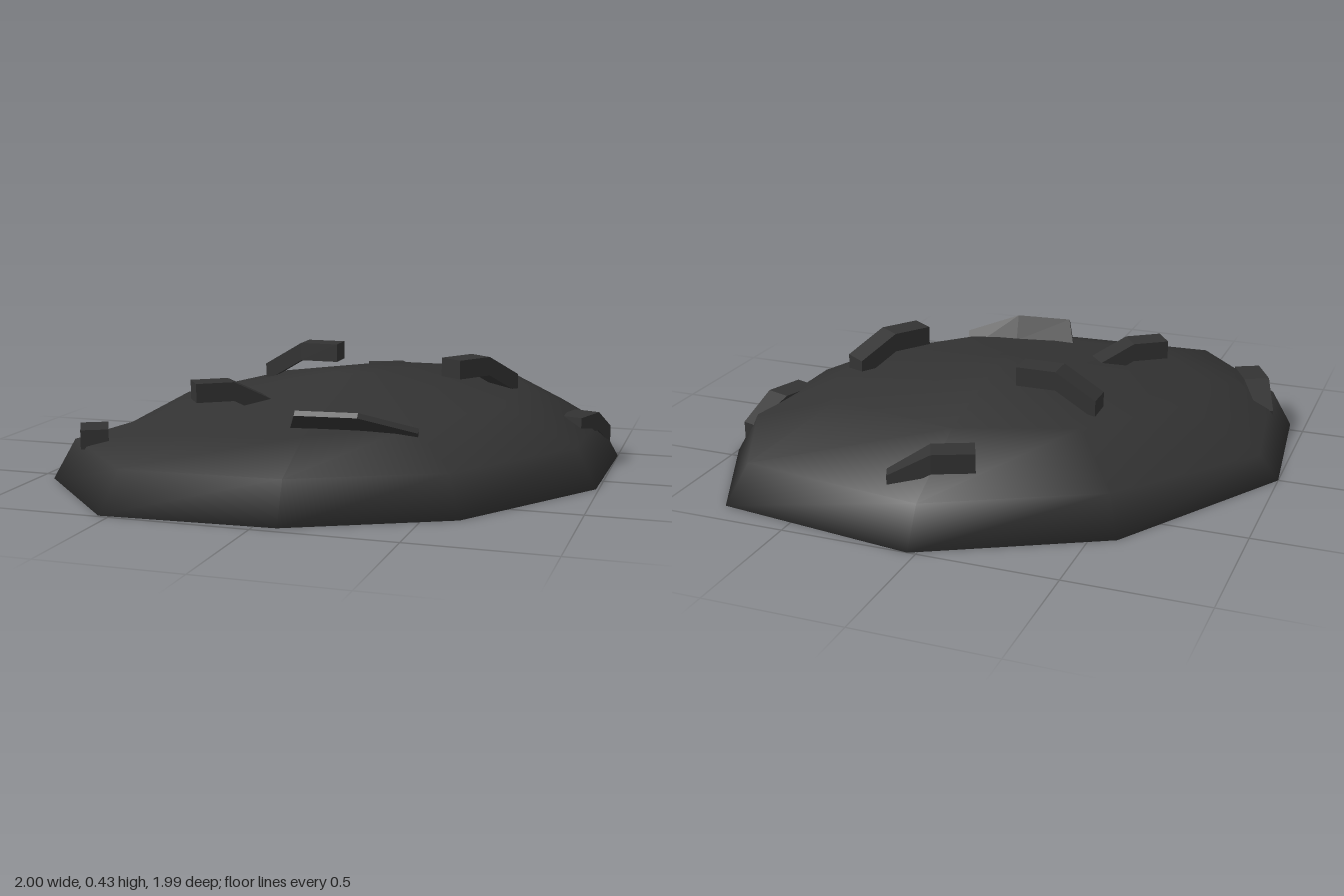
import * as THREE from 'three';

const stone = new THREE.MeshStandardMaterial({ color: 0x333333 });
stone.name = 'darkStone';

// Ground outline [x, z], counter-clockwise seen from above
const outline = [
  [0.03, -1], [-0.59, -0.67], [-1, 0], [-0.94, 0.56], [-0.54, 0.99],
  [0.08, 0.96], [0.62, 0.69], [0.99, 0.13], [1, -0.45], [0.78, -0.9],
];

// Low smooth mound: shrinking rings of the outline, a peak and a flat underside
function makeMound() {
  const n = outline.length;
  const rings = [
    { scale: 1, y: () => 0 },
    { scale: 0.925, y: (x, z) => (x < -0.9 ? 0.09 : 0.145) },
    { scale: 0.64, y: (x, z) => 0.265 + 0.03 * x - 0.06 * z },
    { scale: 0.09, y: () => 0.355, dx: 0.05, dz: -0.07 },
  ];
  const pos = [], idx = [];
  for (const { scale, y, dx = 0, dz = 0 } of rings) {
    for (const [ox, oz] of outline) {
      const x = ox * scale + dx, z = oz * scale + dz;
      pos.push(x, y(x, z), z);
    }
  }
  pos.push(0.05, 0.36, -0.07);
  const peak = rings.length * n;
  for (let r = 0; r < rings.length; r++) {
    for (let i = 0; i < n; i++) {
      const a = r * n + i, b = r * n + (i + 1) % n;
      if (r === rings.length - 1) idx.push(a, b, peak);
      else idx.push(a, b, b + n, a, b + n, a + n);
    }
  }
  // Underside, cut in a zigzag between the two halves of the rim
  let lo = 0, hi = n - 1;
  while (hi - lo > 1) {
    idx.push(lo, hi, lo + 1);
    lo++;
    if (hi - lo > 1) idx.push(lo, hi, hi - 1);
    hi--;
  }
  const geo = new THREE.BufferGeometry();
  geo.setAttribute('position', new THREE.Float32BufferAttribute(pos, 3));
  geo.setIndex(idx);
  geo.computeVertexNormals();
  // Rim normals lean outward and slightly down, rounding the lower edge
  outline.forEach(([x, z], i) => {
    const v = new THREE.Vector3(x, 0, z).setLength(0.9).setY(-0.43).normalize();
    geo.attributes.normal.setXYZ(i, v.x, v.y, v.z);
  });
  return geo;
}

// Hard-edged bar through four-cornered cross-sections
function loft(sections) {
  const pos = [];
  const quad = (a, b, c, d) => [a, b, c, a, c, d].forEach((p) => pos.push(p.x, p.y, p.z));
  for (let s = 0; s < sections.length - 1; s++) {
    const p = sections[s], q = sections[s + 1];
    for (let j = 0; j < 4; j++) quad(p[j], q[j], q[(j + 1) % 4], p[(j + 1) % 4]);
  }
  const e = sections[sections.length - 1];
  quad(...sections[0]);
  quad(e[3], e[2], e[1], e[0]);
  const geo = new THREE.BufferGeometry();
  geo.setAttribute('position', new THREE.Float32BufferAttribute(pos, 3));
  geo.computeVertexNormals();
  return geo;
}

// Bent bar: level from the high end to the middle, then sloping down
function makeBentBar([hx, hz], [lx, lz], top, drop, endWidth = 0.1) {
  const dir = new THREE.Vector3(lx - hx, 0, lz - hz).normalize();
  const side = dir.clone().cross(new THREE.Vector3(0, 1, 0));
  const sections = [[0, top, 0.1], [0.5, top, 0.1], [1, top - drop, endWidth]].map(([t, y, w]) => {
    const c = new THREE.Vector3(hx + (lx - hx) * t, y, hz + (lz - hz) * t);
    const corner = (k, h) => c.clone().addScaledVector(side, k * w / 2).setY(y - h);
    return [corner(-1, 0.07), corner(1, 0.07), corner(1, 0), corner(-1, 0)];
  });
  return loft(sections);
}

// Thin bent plate leaning forward out of the slope
function makeLeaningPlate() {
  const n = new THREE.Vector3(0, -0.008, 0.006);
  const edges = [
    [[-0.03, 0.235, 0.52], [0.02, 0.31, 0.615]],
    [[0.21, 0.235, 0.49], [0.24, 0.31, 0.595]],
    [[0.41, 0.185, 0.44], [0.43, 0.25, 0.5]],
  ];
  return loft(edges.map(([b, t]) => {
    const lo = new THREE.Vector3(...b), up = new THREE.Vector3(...t);
    return [lo.clone().sub(n), lo.clone().add(n), up.clone().add(n), up.clone().sub(n)];
  }));
}

export function createModel() {
  const model = new THREE.Group();
  model.name = 'rockMound';
  const add = (name, geo) => {
    const mesh = new THREE.Mesh(geo, stone);
    mesh.name = name;
    model.add(mesh);
  };
  add('mound', makeMound());
  add('peakBar', makeBentBar([-0.09, -0.26], [-0.39, -0.26], 0.43, 0.09));
  add('innerLeftBar', makeBentBar([0.43, 0.03], [0.6, -0.22], 0.43, 0.08));
  add('innerRightBar', makeBentBar([-0.445, 0.4], [-0.215, 0.24], 0.36, 0.07));
  add('outerLeftBar', makeBentBar([0.845, -0.17], [0.94, -0.455], 0.2, 0.08, 0.06));
  add('outerRightBar', makeBentBar([-0.74, 0.615], [-0.875, 0.35], 0.205, 0.08, 0.06));
  add('backBar', makeBentBar([-0.1, -0.72], [0.175, -0.84], 0.28, 0.08, 0.06));
  add('frontPlate', makeLeaningPlate());
  return model;
}
